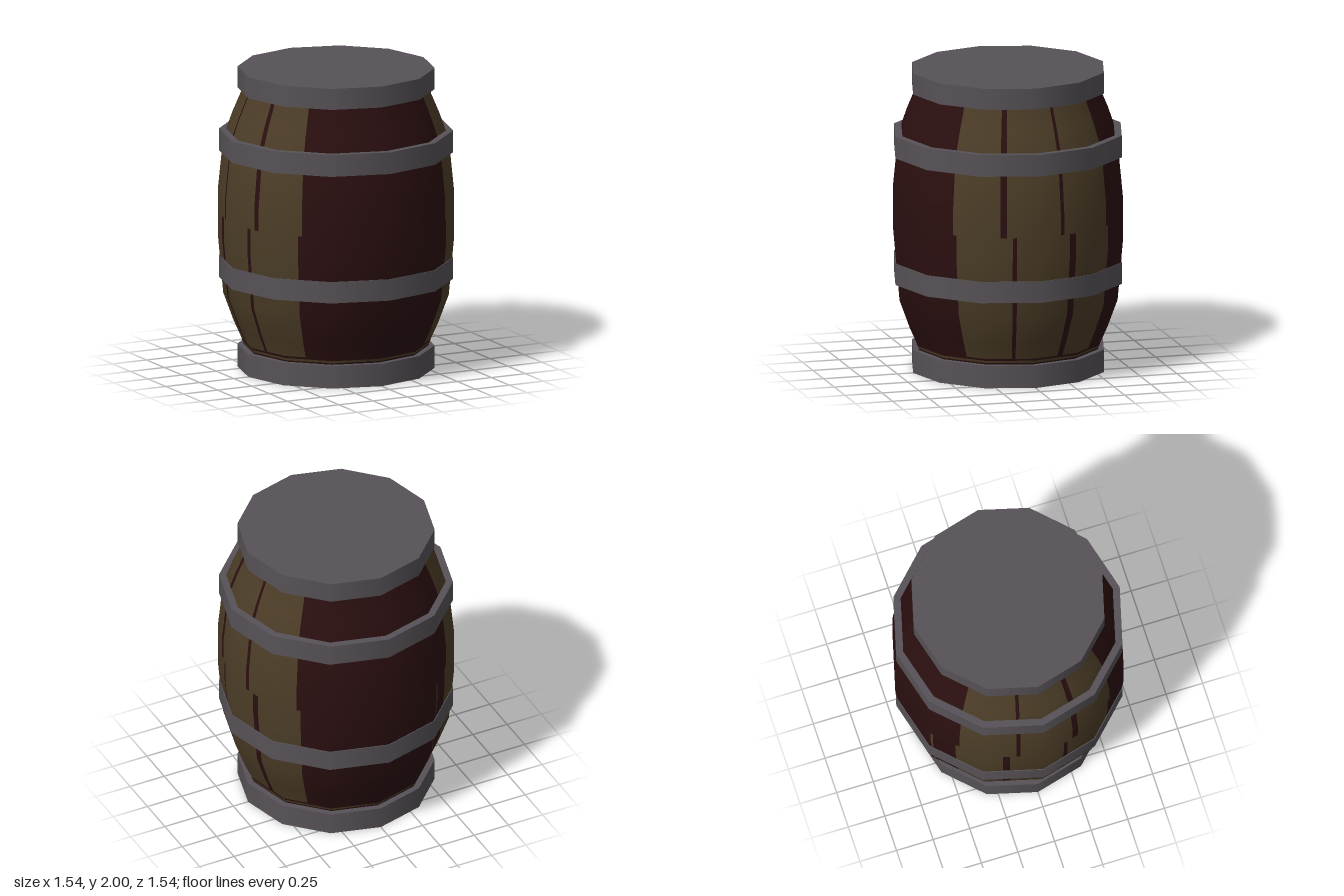
import * as THREE from 'three';

const SIDES = 12;
const STEP = (Math.PI * 2) / SIDES;
const rad = THREE.MathUtils.degToRad;

// Bulging outline of the staves: [radius, height]
const PROFILE = [
  [0.585, 0.1], [0.62, 0.2], [0.665, 0.3], [0.735, 0.49], [0.77, 0.88],
  [0.77, 1.18], [0.735, 1.53], [0.675, 1.7], [0.62, 1.83], [0.595, 1.92],
];

function radiusAt(y) {
  for (let i = 1; i < PROFILE.length; i++) {
    const [r0, y0] = PROFILE[i - 1], [r1, y1] = PROFILE[i];
    if (y <= y1) return r0 + ((r1 - r0) * (y - y0)) / (y1 - y0);
  }
  return PROFILE[PROFILE.length - 1][0];
}

// Curved patch of the twelve-sided body between two angles (degrees from +z) and two heights
function patch(deg0, deg1, yLow, yHigh, lift = 0) {
  const a0 = rad(deg0), a1 = rad(deg1);
  const angles = [a0];
  for (let k = 0; k <= SIDES; k++) {
    if (k * STEP > a0 + 1e-4 && k * STEP < a1 - 1e-4) angles.push(k * STEP);
  }
  angles.push(a1);
  const heights = [yLow, ...PROFILE.map((p) => p[1]).filter((y) => y > yLow + 1e-3 && y < yHigh - 1e-3), yHigh];

  const pos = [], nor = [], idx = [];
  const n = angles.length;
  heights.forEach((y, j) => {
    const slope = (radiusAt(Math.min(y + 0.12, 1.92)) - radiusAt(Math.max(y - 0.12, 0.1))) / 0.24;
    const len = Math.hypot(1, slope);
    angles.forEach((a, i) => {
      const local = (a % STEP) - STEP / 2;
      const r = (radiusAt(y) + lift) * Math.cos(STEP / 2) / Math.cos(local);
      pos.push(r * Math.sin(a), y, r * Math.cos(a));
      nor.push(Math.sin(a) / len, -slope / len, Math.cos(a) / len);
      if (i < n - 1 && j < heights.length - 1) {
        const p = j * n + i;
        idx.push(p, p + 1, p + n + 1, p, p + n + 1, p + n);
      }
    });
  });
  const g = new THREE.BufferGeometry();
  g.setAttribute('position', new THREE.Float32BufferAttribute(pos, 3));
  g.setAttribute('normal', new THREE.Float32BufferAttribute(nor, 3));
  g.setIndex(idx);
  return g;
}

export function createModel() {
  const darkWood = new THREE.MeshStandardMaterial({ color: 0x2b0f10 });
  darkWood.name = 'dark red wood';
  const paleWood = new THREE.MeshStandardMaterial({ color: 0x4c3d27 });
  paleWood.name = 'olive wood';
  const metal = new THREE.MeshStandardMaterial({ color: 0x575257 });
  metal.name = 'grey metal';

  const barrel = new THREE.Group();
  barrel.name = 'barrel';
  const staves = new THREE.Group();
  staves.name = 'staves';
  barrel.add(staves);

  const addTo = (parent, name, geometry, material) => {
    const mesh = new THREE.Mesh(geometry, material);
    mesh.name = name;
    parent.add(mesh);
    return mesh;
  };

  // Wood bands: angles where the colour switches, starting dark at the front; mirrored left and right
  const bands = [
    { from: 0.19, to: 1.03, cuts: [0, 47, 76.2, 78.4, 106.6, 110.2, 135, 180] },
    { from: 1.03, to: 1.92, cuts: [0, 45, 70, 73.2, 101.3, 103.3, 132.8, 180] },
  ];
  for (const { from, to, cuts } of bands) {
    for (let i = 0; i < cuts.length - 1; i++) {
      const dark = i % 2 === 0;
      const name = dark ? 'darkStave' : 'paleStave';
      const material = dark ? darkWood : paleWood;
      addTo(staves, name, patch(cuts[i], cuts[i + 1], from, to), material);
      addTo(staves, name, patch(360 - cuts[i + 1], 360 - cuts[i], from, to), material);
    }
  }

  // Worn edge just above the bottom hoop
  addTo(staves, 'lowerEdge', patch(0, 360, 0.1, 0.16), darkWood);
  addTo(staves, 'wornEdge', patch(0, 360, 0.16, 0.176), paleWood);
  addTo(staves, 'lowerGroove', patch(0, 360, 0.176, 0.19), darkWood);

  // Narrow pale seam on the back
  addTo(staves, 'backSeam', patch(211.4, 212.6, 0.2, 1.02, 0.003), paleWood);

  // Hoops: the end ones also close the barrel
  const hoops = [
    ['bottomHoop', 0.643, 0, 0.15],
    ['lowerHoop', 0.763, 0.595, 0.737],
    ['upperHoop', 0.763, 1.44, 1.585],
    ['topHoop', 0.643, 1.86, 2],
  ];
  for (const [name, r, y0, y1] of hoops) {
    const hoop = addTo(barrel, name, new THREE.CylinderGeometry(r, r, y1 - y0, SIDES), metal);
    hoop.position.y = (y0 + y1) / 2;
  }
  return barrel;
}
